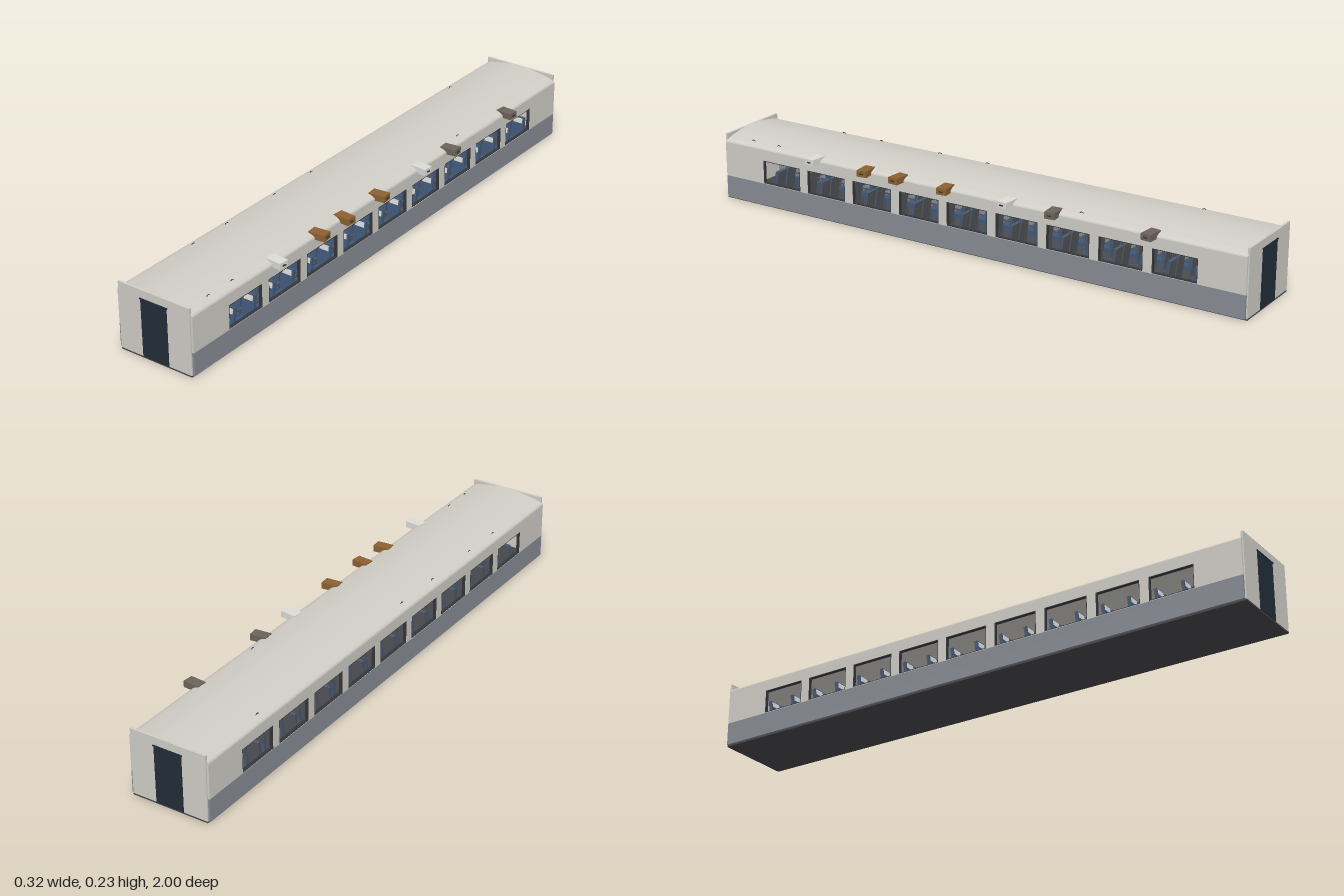
import * as THREE from 'three';
import { toCreasedNormals } from 'three/addons/utils/BufferGeometryUtils.js';

const mat = (name, color) => {
  const m = new THREE.MeshStandardMaterial({ color });
  m.name = name;
  return m;
};

export function createModel() {
  const cream = mat('cream wall', 0xd0cdc6);
  const slate = mat('slate lower wall', 0x888b94);
  const floorDark = mat('dark floor', 0x45444a);
  const doorNavy = mat('door navy', 0x222d38);
  const frameDark = mat('window frame', 0x34363a);
  const seatBlue = mat('seat blue', 0x3f5878);
  const seatGrey = mat('seat shell grey', 0x55585e);
  const brown = mat('brown luggage', 0x8c6132);
  const pale = mat('pale luggage', 0xdcdbd6);
  const taupe = mat('taupe luggage', 0x6c645a);

  const model = new THREE.Group();
  model.name = 'railCarriage';
  const car = new THREE.Group();
  car.name = 'carriage';
  car.position.x = -0.02;
  model.add(car);

  const add = (parent, name, geo, m, x = 0, y = 0, z = 0) => {
    const mesh = new THREE.Mesh(geo, m);
    mesh.name = name;
    mesh.position.set(x, y, z);
    parent.add(mesh);
    return mesh;
  };
  const box = (parent, name, m, w, h, d, x, y, z) =>
    add(parent, name, new THREE.BoxGeometry(w, h, d), m, x, y, z);

  const rect = (Type, cx, y0, y1, w) => {
    const p = new Type();
    p.moveTo(cx - w / 2, y0);
    p.lineTo(cx + w / 2, y0);
    p.lineTo(cx + w / 2, y1);
    p.lineTo(cx - w / 2, y1);
    p.closePath();
    return p;
  };
  // Shape drawn along the carriage, extruded across it and centred on x = 0
  const sideExtrude = (shape, depth) =>
    new THREE.ExtrudeGeometry(shape, { depth, bevelEnabled: false })
      .translate(0, 0, -depth / 2).rotateY(Math.PI / 2);

  // Floor
  box(car, 'floor', floorDark, 0.273, 0.006, 1.99, 0, 0.003, 0);

  // Side walls with nine window openings
  const windows = Array.from({ length: 9 }, (_, i) => (i - 4) * 0.188);
  const wallShape = rect(THREE.Shape, 0, 0.083, 0.204, 1.985);
  windows.forEach(z => wallShape.holes.push(rect(THREE.Path, z, 0.0845, 0.166, 0.156)));
  const wallGeo = sideExtrude(wallShape, 0.007);
  const frameShape = rect(THREE.Shape, 0, 0.0845, 0.166, 0.156);
  frameShape.holes.push(rect(THREE.Path, 0, 0.087, 0.1635, 0.151));
  const frameGeo = sideExtrude(frameShape, 0.011);
  for (const s of [-1, 1]) {
    add(car, 'upperSideWall', wallGeo, cream, s * 0.14);
    box(car, 'lowerSideWall', slate, 0.007, 0.078, 1.985, s * 0.14, 0.044, 0);
    windows.forEach(z => add(car, 'windowFrame', frameGeo, frameDark, s * 0.1375, 0, z));
    box(car, 'luggageRack', seatGrey, 0.055, 0.003, 1.9, s * 0.109, 0.194, 0);
  }

  // Curved roof shell
  const half = [[0.1435, 0.2], [0.1425, 0.206], [0.137, 0.211], [0.125, 0.2165],
    [0.1, 0.222], [0.05, 0.2305], [0, 0.233]];
  const profile = [...half, ...half.slice(0, -1).reverse().map(([x, y]) => [-x, y])]
    .map(([x, y]) => new THREE.Vector2(x, y));
  const outer = new THREE.SplineCurve(profile).getPoints(40);
  const inner = outer.map(p => new THREE.Vector2(p.x * 0.955, p.y - 0.006)).reverse();
  const roofGeo = new THREE.ExtrudeGeometry(new THREE.Shape([...outer, ...inner]),
    { depth: 1.985, bevelEnabled: false }).translate(0, 0, -0.9925);
  add(car, 'roof', toCreasedNormals(roofGeo, 0.6), cream);

  // End walls with doors
  for (const s of [-1, 1]) {
    box(car, 'endWall', cream, 0.273, 0.227, 0.008, 0, 0.1185, s * 0.993);
    box(car, 'endSill', floorDark, 0.273, 0.005, 0.008, 0, 0.0025, s * 0.993);
    box(car, 'endDoor', doorNavy, 0.1, 0.197, 0.003, 0, 0.1035, s * 0.997);
    box(car, 'doorLintel', doorNavy, 0.106, 0.004, 0.006, 0, 0.203, s * 0.997);
  }

  // Seats: eighteen rows of four, facing the front
  const seat = (x, z) => {
    const g = new THREE.Group();
    g.name = 'seat';
    g.position.set(x, 0.006, z);
    box(g, 'seatBase', seatGrey, 0.03, 0.036, 0.03, 0, 0.018, 0.018);
    box(g, 'seatCushion', seatBlue, 0.046, 0.012, 0.045, 0, 0.042, 0.02);
    const back = new THREE.Group();
    back.name = 'seatBack';
    back.position.set(0, 0.042, 0.002);
    back.rotation.x = -0.14;
    box(back, 'backCushion', seatBlue, 0.046, 0.08, 0.007, 0, 0.042, 0.001);
    box(back, 'backShell', seatGrey, 0.046, 0.08, 0.004, 0, 0.042, -0.0045);
    box(back, 'headrestCloth', pale, 0.034, 0.018, 0.001, 0, 0.07, 0.005);
    g.add(back);
    for (const s of [-1, 1]) box(g, 'armrest', seatGrey, 0.004, 0.005, 0.034, s * 0.025, 0.066, 0.016);
    car.add(g);
  };
  for (let i = 0; i < 18; i++) {
    for (const x of [-0.107, -0.054, 0.054, 0.107]) seat(x, 0.793 - i * 0.0943);
  }

  // Suitcases jutting out through the +x wall
  const cases = [[0.605, pale], [0.395, brown], [0.265, brown], [0.08, brown],
    [-0.155, pale], [-0.325, taupe], [-0.67, taupe]];
  cases.forEach(([z, m], i) => {
    const g = new THREE.Group();
    g.name = 'suitcase';
    g.position.set(0.127, 0.21, z);
    g.rotation.y = (i % 2 ? 1 : -1) * 0.09;
    box(g, 'suitcaseBody', m, 0.058, 0.022, 0.036, 0, 0, 0);
    box(g, 'suitcaseHandle', frameDark, 0.003, 0.004, 0.013, 0.0305, 0, 0);
    model.add(g);
  });

  // Bags on the racks, handle tops showing through the roof
  const bags = [[-1, -0.715], [-1, 0.09], [-1, 0.28], [-1, 0.52], [-1, 0.68],
    [1, -0.41], [1, 0.78], [1, 0.89]];
  bags.forEach(([s, z], i) => {
    box(car, 'rackBag', [brown, taupe, pale][i % 3], 0.034, 0.014, 0.05, s * 0.108, 0.2025, z);
    const handle = add(car, 'bagHandle', new THREE.TorusGeometry(0.008, 0.0013, 6, 16, Math.PI),
      frameDark, s * 0.117, 0.2135, z);
    handle.rotation.y = Math.PI / 2;
  });

  return model;
}
